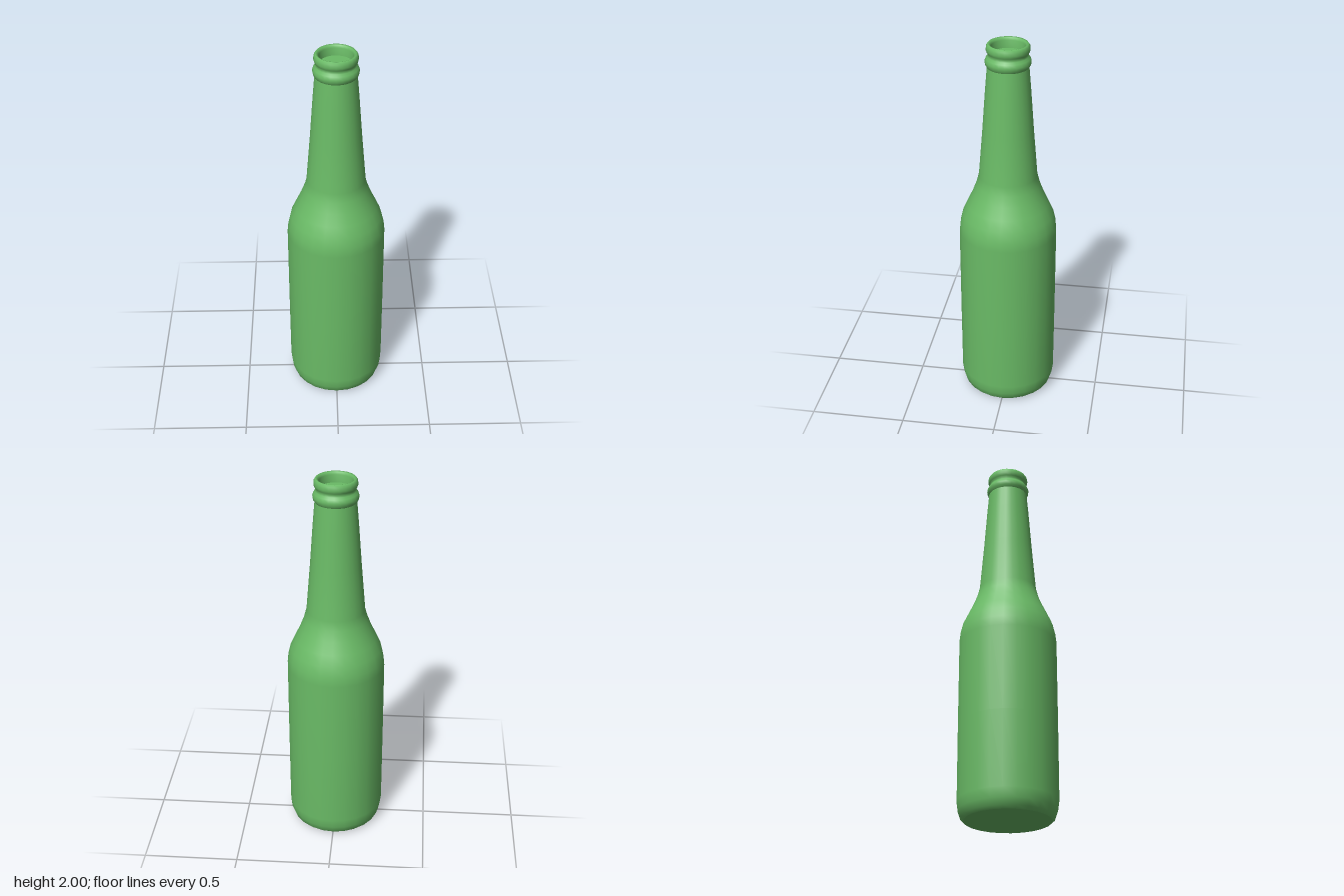
import * as THREE from 'three';

const SIDES = 24;

export function createModel() {
  const bottle = new THREE.Group();
  bottle.name = 'bottle';
  const glass = new THREE.MeshStandardMaterial({ color: 0x6abb66 });

  // Revolve a [radius, height] profile around the y axis
  function turn(name, profile) {
    const points = profile.map(([r, y]) => new THREE.Vector2(r, y));
    const mesh = new THREE.Mesh(new THREE.LatheGeometry(points, SIDES), glass);
    mesh.name = name;
    bottle.add(mesh);
  }

  // Base with a shallow hollow underneath
  turn('base', [[0, 0.015], [0.16, 0.012], [0.2, 0.003], [0.222, 0]]);

  // Straight body with a rounded heel, shoulder and tapering neck
  turn('body', [
    [0.222, 0], [0.238, 0.015], [0.25, 0.05], [0.257, 0.1],
    [0.258, 0.5], [0.258, 0.96], [0.253, 1.01], [0.24, 1.065],
    [0.215, 1.12], [0.187, 1.18], [0.166, 1.235], [0.153, 1.285],
    [0.132, 1.54], [0.116, 1.76], [0.106, 1.88],
  ]);

  // Collar ring, groove and rolled lip
  turn('lip', [
    [0.106, 1.88], [0.114, 1.893], [0.117, 1.91], [0.111, 1.926],
    [0.102, 1.936], [0.1, 1.947], [0.106, 1.956], [0.111, 1.97],
    [0.109, 1.989], [0.101, 2], [0.092, 1.997], [0.085, 1.985],
    [0.083, 1.945],
  ]);

  // Closed surface just inside the mouth
  turn('mouthFloor', [[0.083, 1.945], [0, 1.945]]);

  return bottle;
}
